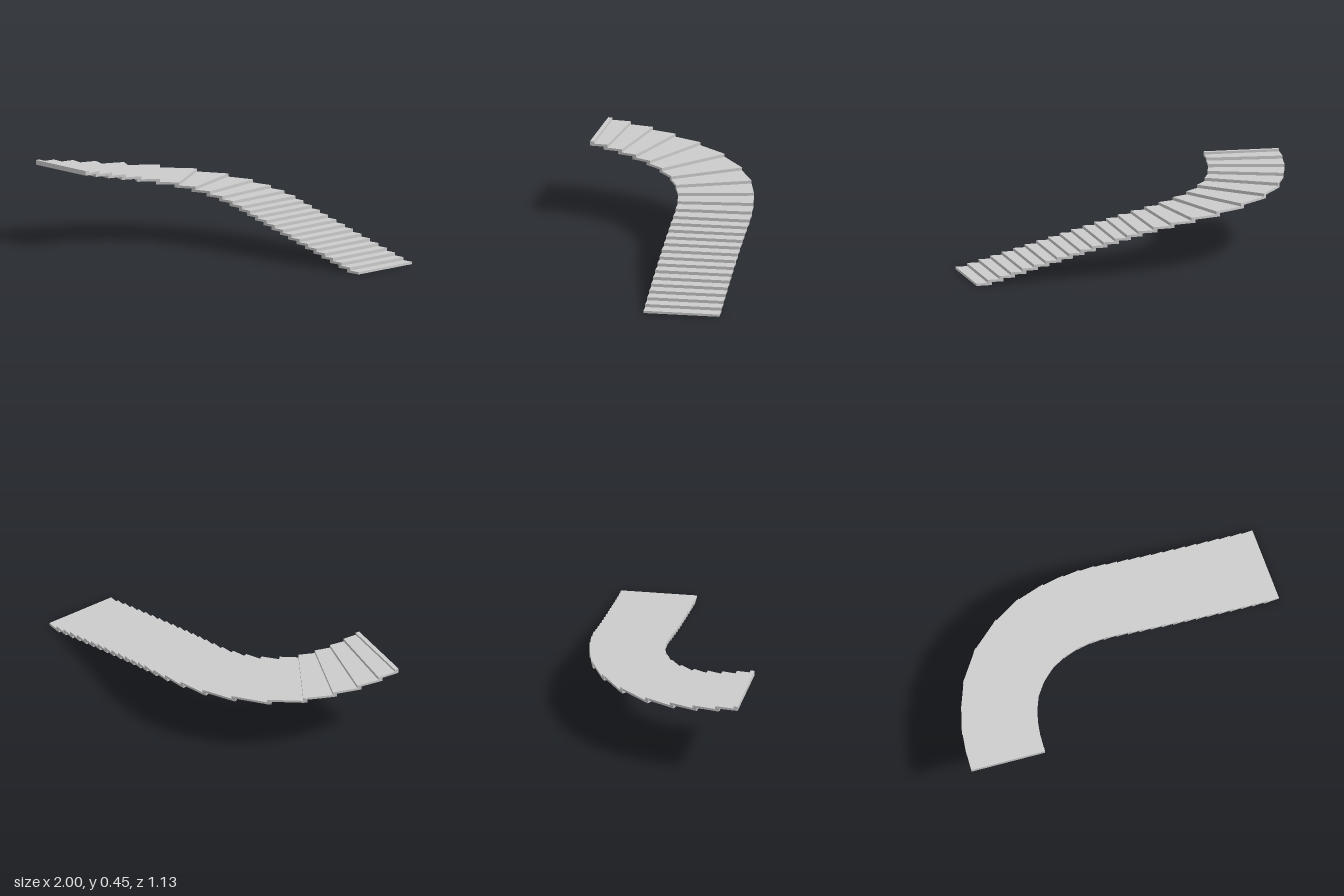
import * as THREE from 'three';

const RISE = 0.0178, TREAD = 0.0135, RISER_TOP = 0.0268, RISER_DEPTH = 0.024;

// Nosing lines of the curved flight, top to bottom: [outer x, outer z, inner x, inner z]
const nosings = [
  [-1, 0.54, -0.568, 0.54],
  [-0.998, 0.432, -0.567, 0.461],
  [-0.985, 0.3, -0.558, 0.376],
  [-0.95, 0.16, -0.538, 0.288],
  [-0.89, 0, -0.505, 0.2],
  [-0.775, -0.17, -0.445, 0.113],
  [-0.617, -0.31, -0.368, 0.04],
  [-0.457, -0.405, -0.28, -0.009],
  [-0.303, -0.457, -0.193, -0.041],
  [-0.177, -0.484, -0.107, -0.06],
  [-0.077, -0.498, -0.027, -0.068],
];
// Nearly straight lower flight
for (let i = 0; i <= 14; i++) {
  const t = i / 14, drop = 0.058 * Math.pow(t, 1.3);
  nosings.push([0.012 + 0.945 * t, -0.505 - drop, 0.05 + 0.945 * t, -0.073 - drop]);
}

// Moves a nosing line backwards, square to itself
function shiftBack([ox, oz, ix, iz], dist) {
  const len = Math.hypot(ix - ox, iz - oz);
  const bx = -(iz - oz) / len * dist, bz = (ix - ox) / len * dist;
  return [ox + bx, oz + bz, ix + bx, iz + bz];
}

// Flat slab between two plan lines
function slab(name, front, back, y, height, material) {
  const shape = new THREE.Shape([
    new THREE.Vector2(front[0], -front[1]),
    new THREE.Vector2(front[2], -front[3]),
    new THREE.Vector2(back[2], -back[3]),
    new THREE.Vector2(back[0], -back[1]),
  ]);
  const geometry = new THREE.ExtrudeGeometry(shape, { depth: height, bevelEnabled: false });
  geometry.rotateX(-Math.PI / 2);
  const mesh = new THREE.Mesh(geometry, material);
  mesh.name = name;
  mesh.position.y = y;
  return mesh;
}

export function createModel() {
  const staircase = new THREE.Group();
  staircase.name = 'curvedStaircase';
  const material = new THREE.MeshStandardMaterial({ color: 0xcccccc, flatShading: true });
  const count = nosings.length - 1;

  // Each step is a tread with a riser standing on its back edge
  for (let k = 1; k <= count; k++) {
    const step = new THREE.Group();
    step.name = 'step' + (count - k + 1);
    step.position.y = (count - k) * RISE;
    const upper = nosings[k - 1], back = shiftBack(upper, RISER_DEPTH);
    step.add(slab('tread', nosings[k], upper, 0, TREAD, material));
    step.add(slab('riser', upper, back, 0, RISER_TOP, material));
    staircase.add(step);
  }
  return staircase;
}
